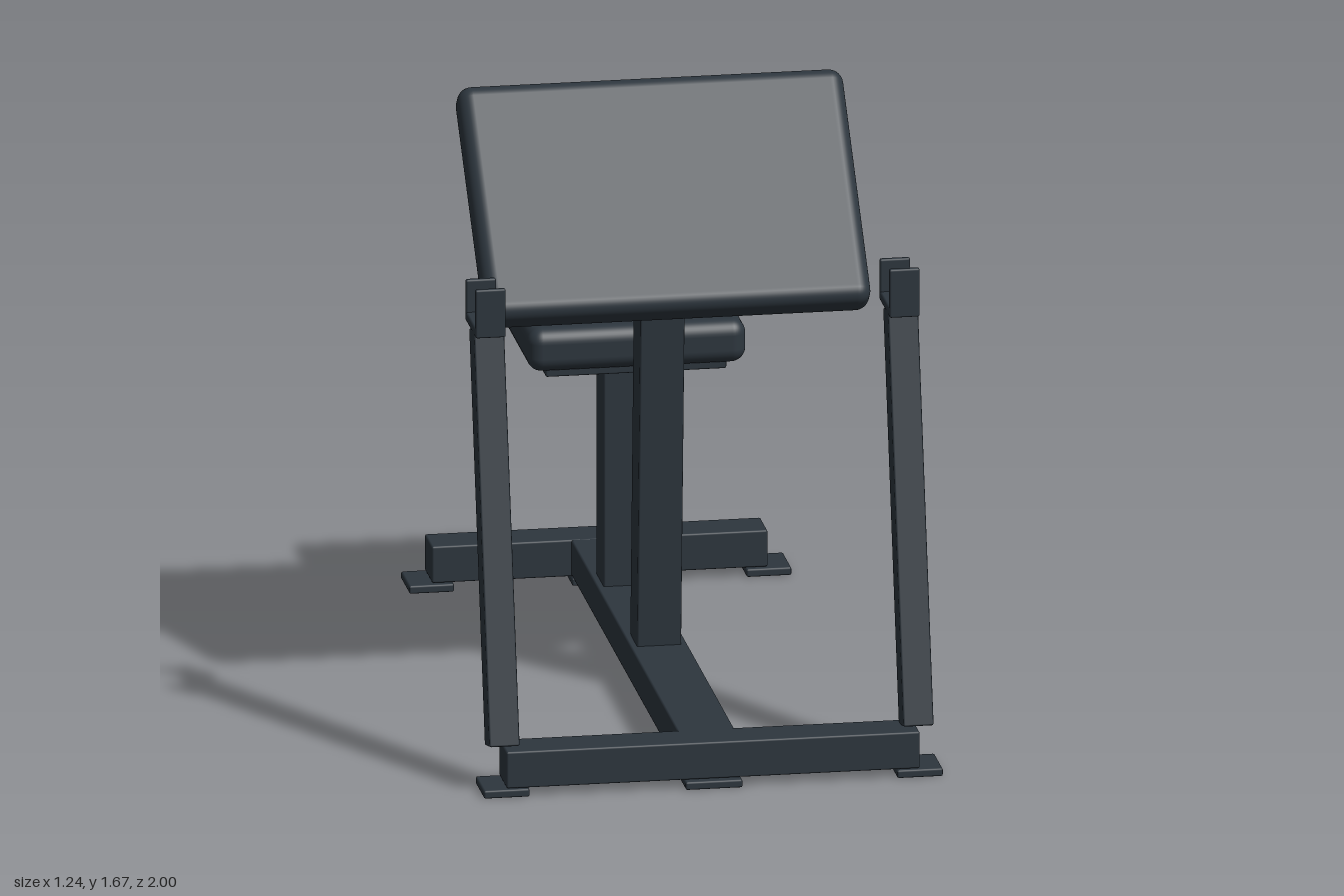
import * as THREE from 'three';
import { RoundedBoxGeometry } from 'three/addons/geometries/RoundedBoxGeometry.js';

export function createModel() {
  const model = new THREE.Group();
  model.name = 'preacherCurlBench';
  const slate = new THREE.MeshStandardMaterial({ color: 0x2d363e });
  slate.name = 'slate';

  // Box with softened edges, placed by its centre
  function box(parent, name, size, pos, radius = 0.005, segments = 1) {
    const mesh = new THREE.Mesh(new RoundedBoxGeometry(...size, segments, radius), slate);
    mesh.name = name;
    mesh.position.set(...pos);
    parent.add(mesh);
    return mesh;
  }

  // Tube between two [y, z] points, leaning along z
  function strut(name, x, [y0, z0], [y1, z1], width, depth) {
    const length = Math.hypot(y1 - y0, z1 - z0);
    const mesh = box(model, name, [width, length, depth], [x, (y0 + y1) / 2, (z0 + z1) / 2]);
    mesh.rotation.x = Math.atan2(z1 - z0, y1 - y0);
  }

  // Base frame
  box(model, 'baseBeam', [0.154, 0.1, 1.96], [0, 0.075, 0]);
  box(model, 'frontCrossbar', [1.12, 0.102, 0.12], [0, 0.075, 0.923]);
  box(model, 'rearCrossbar', [0.91, 0.102, 0.12], [0, 0.075, -0.922]);

  // Floor plates under each end of the frame
  for (const x of [-0.56, 0, 0.56]) {
    box(model, 'frontFoot', [x ? 0.124 : 0.154, 0.022, x ? 0.14 : 0.15], [x, 0.011, x ? 0.918 : 0.925]);
  }
  for (const x of [-0.457, 0, 0.457]) {
    box(model, 'rearFoot', [x ? 0.122 : 0.154, 0.022, x ? 0.14 : 0.15], [x, 0.011, x ? -0.922 : -0.925]);
  }

  // Bar uprights with open cradles
  for (const side of [-1, 1]) {
    const x = side * 0.561;
    const label = side > 0 ? 'left' : 'right';
    strut(label + 'Upright', x, [0.125, 0.917], [1.215, 0.662], 0.082, 0.084);
    const cradle = new THREE.Group();
    cradle.name = label + 'BarCradle';
    box(cradle, 'cradlePlate', [0.082, 0.026, 0.172], [x, 1.222, 0.646]);
    box(cradle, 'cradleFrontLip', [0.082, 0.132, 0.018], [x, 1.278, 0.723]);
    box(cradle, 'cradleRearLip', [0.082, 0.112, 0.018], [x, 1.269, 0.567]);
    model.add(cradle);
  }

  // Arm pad on its leaning post
  strut('padPost', 0, [0.12, 0.045], [1.3, 0.116], 0.12, 0.115);
  const armRest = new THREE.Group();
  armRest.name = 'armRest';
  armRest.position.set(0, 1.396, 0.165);
  armRest.rotation.x = -Math.PI / 4;
  box(armRest, 'armPad', [1.046, 0.705, 0.105], [0, 0, 0], 0.04, 5);
  box(armRest, 'armPadBacking', [0.88, 0.6, 0.04], [0, 0, -0.066]);
  model.add(armRest);
  box(model, 'rearBlock', [0.084, 0.082, 0.14], [0, 1.409, -0.112]);

  // Seat
  box(model, 'seatPost', [0.12, 0.655, 0.12], [0, 0.4475, -0.5]);
  box(model, 'seatBacking', [0.49, 0.035, 0.455], [0, 0.79, -0.5]);
  box(model, 'seatPad', [0.592, 0.12, 0.522], [0, 0.852, -0.5], 0.04, 5);

  return model;
}
